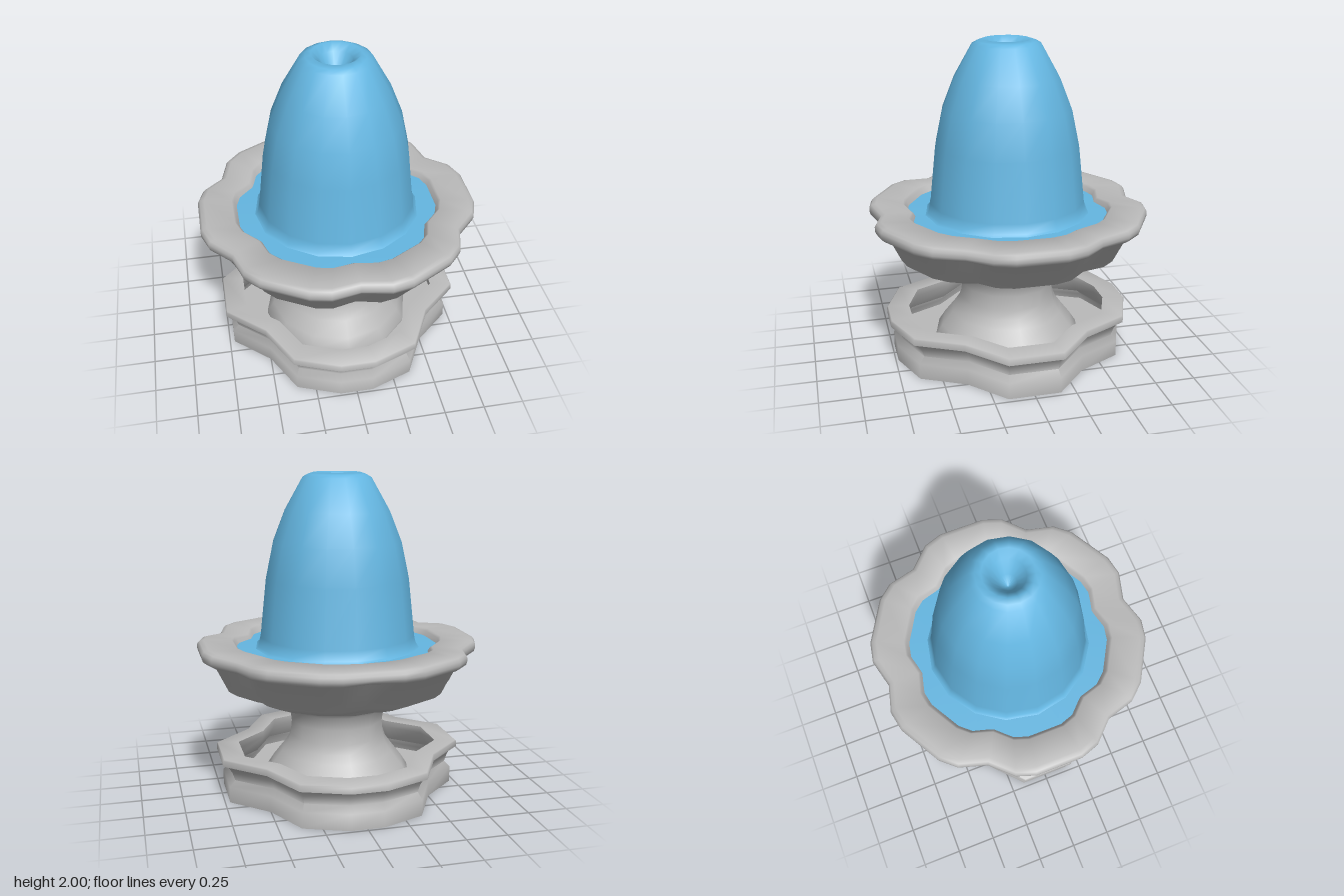
import * as THREE from 'three';
import { toCreasedNormals } from 'three/addons/utils/BufferGeometryUtils.js';

// Each pattern is a list of [angle in degrees, radius factor], repeated round the axis
const BOWL_LOBE = [[30, 0.916], [41.8, 0.988], [50.1, 1], [69.9, 1], [78.2, 0.988]];
const BASE_HALF = [[-12.5, 0.99], [12.5, 0.99], [36, 0.83], [60, 0.98],
  [82, 0.995], [98, 0.995], [120, 0.98], [144, 0.83]];

function outline(pattern, repeats) {
  const out = [];
  for (let k = 0; k < repeats; k++) {
    for (const [a, f] of pattern) out.push([(k * 360 / repeats + a) * Math.PI / 180, f]);
  }
  return out;
}

// Sweeps a profile of [radius, y, notchDip] round an outline; upward means facing out
function loft(ring, profile, crease) {
  const pos = [], idx = [], n = ring.length;
  for (const [r, y, dip = 0] of profile) {
    for (const [a, f] of ring) {
      pos.push(r * f * Math.cos(a), y - dip * (1 - f) / 0.084, r * f * Math.sin(a));
    }
  }
  for (let i = 0; i < profile.length - 1; i++) {
    for (let j = 0; j < n; j++) {
      const k = (j + 1) % n;
      const a = i * n + j, b = a + n, c = i * n + k, d = c + n;
      idx.push(a, b, c);
      if (profile[i + 1][0] > 0) idx.push(c, b, d);
    }
  }
  const geo = new THREE.BufferGeometry();
  geo.setAttribute('position', new THREE.Float32BufferAttribute(pos, 3));
  geo.setIndex(idx);
  return toCreasedNormals(geo, crease);
}

export function createModel() {
  const group = new THREE.Group();
  const stone = new THREE.MeshStandardMaterial({ color: 0xbababa, side: THREE.DoubleSide });
  stone.name = 'stone';
  const water = new THREE.MeshStandardMaterial({ color: 0x64b6e1, side: THREE.DoubleSide });
  water.name = 'water';

  function add(name, geometry, material) {
    const mesh = new THREE.Mesh(geometry, material);
    mesh.name = name;
    group.add(mesh);
  }

  const bowlOutline = outline(BOWL_LOBE, 6);
  const baseOutline = outline(BASE_HALF, 2);

  // Base wall with four broad lobes and a flat lip
  add('baseWall', loft(baseOutline, [
    [0.745, 0], [0.745, 0.1], [0.708, 0.14], [0.725, 0.19], [0.757, 0.24],
    [0.783, 0.24], [0.783, 0.275], [0.776, 0.283], [0.64, 0.283], [0.64, 0.24], [0.70, 0.14],
  ], 1.2), stone);

  // Floor inside the base wall
  add('baseFloor', loft(baseOutline, [[0.74, 0.07], [0, 0.07]], 0.6), stone);

  // Flared pedestal standing through the floor
  add('pedestal', loft(outline([[0, 1]], 12), [
    [0.45, 0.07], [0.45, 0.05], [0.475, 0.05], [0.475, 0.09],
    [0.43, 0.16], [0.36, 0.25], [0.325, 0.3], [0.305, 0.36], [0.295, 0.45], [0.305, 0.53],
    [0.335, 0.565], [0.41, 0.58], [0.445, 0.62], [0.42, 0.65],
  ], 0.9), stone);

  // Lobed bowl with a thick rounded rim
  add('bowl', loft(bowlOutline, [
    [0.3, 0.615], [0.45, 0.625], [0.58, 0.64], [0.715, 0.70], [0.805, 0.88],
    [0.85, 0.885, 0.005], [0.87, 0.9, 0.01], [0.876, 0.92, 0.015], [0.876, 0.945, 0.015],
    [0.862, 0.963, 0.015], [0.835, 0.97, 0.015], [0.66, 0.968, 0.015], [0.646, 0.955, 0.01],
    [0.623, 0.91],
  ], 1.1), stone);

  // Pool surface filling the bowl
  add('pool', loft(bowlOutline, [[0.638, 0.925], [0.45, 0.93], [0, 0.93]], 0.6), water);

  // Domed spout of water with a funnel at the top
  add('waterDome', loft(outline([[0, 1]], 16), [
    [0.518, 0.926], [0.5, 0.94], [0.486, 1.0], [0.447, 1.36], [0.4, 1.58], [0.325, 1.77],
    [0.212, 1.97], [0.18, 1.988], [0.145, 2], [0.1, 1.96], [0.05, 1.87], [0, 1.81],
  ], 1.4), water);

  return group;
}
